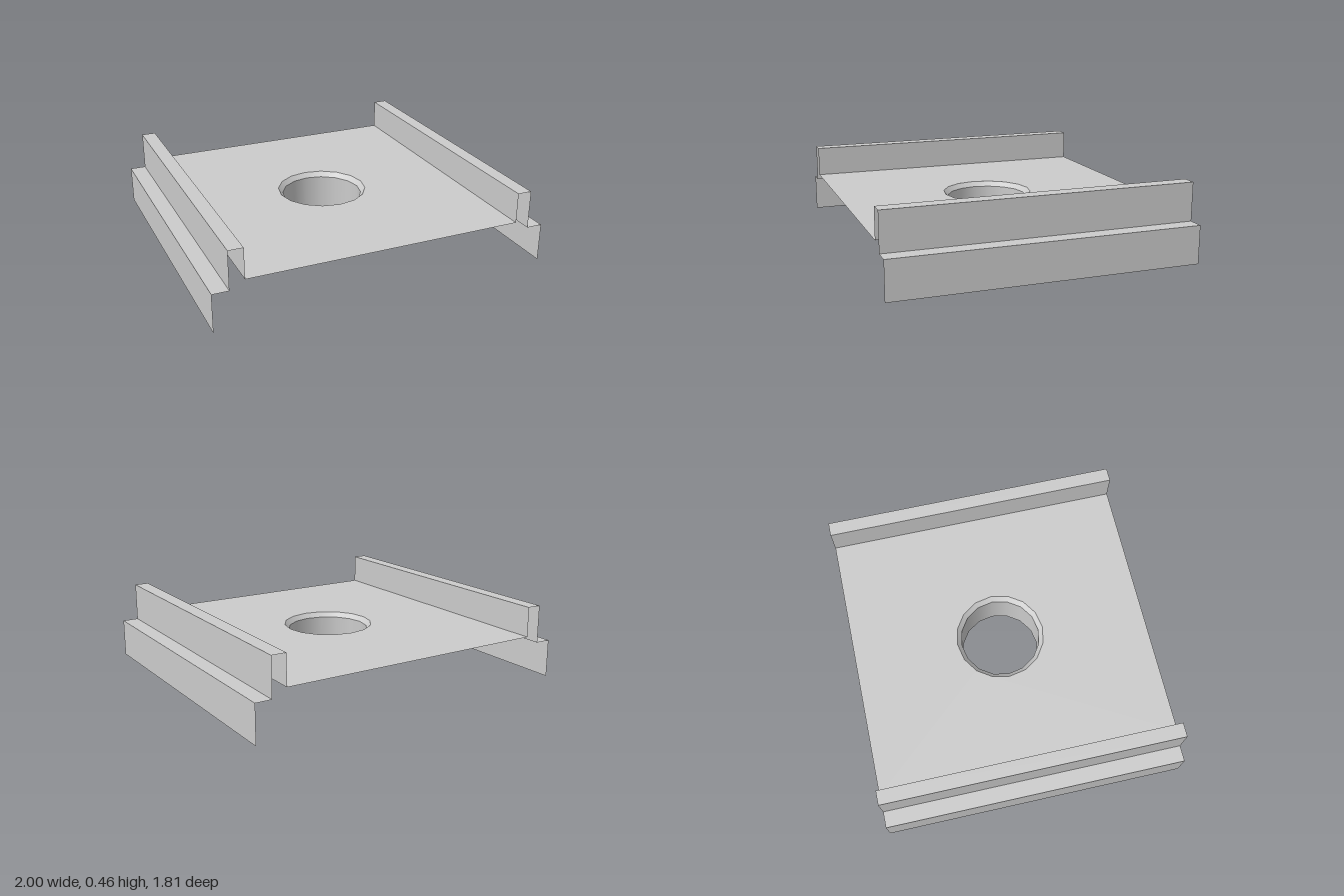
import * as THREE from 'three';

const HALF_DEPTH = 0.905;
const PLATE_Y = 0.275;
const SIDES = 16;

// Folded sheet: one flat strip along z for each segment of an (x, y) profile
function foldedSheet(profile) {
  const d = HALF_DEPTH;
  const pos = [];
  for (let i = 0; i < profile.length - 1; i++) {
    const [ax, ay] = profile[i];
    const [bx, by] = profile[i + 1];
    pos.push(ax, ay, d, bx, by, d, bx, by, -d);
    pos.push(ax, ay, d, bx, by, -d, ax, ay, -d);
  }
  const geo = new THREE.BufferGeometry();
  geo.setAttribute('position', new THREE.Float32BufferAttribute(pos, 3));
  geo.computeVertexNormals();
  return geo;
}

// Open ring between two heights
function openRing(rTop, rBottom, yTop, yBottom) {
  const geo = new THREE.CylinderGeometry(rTop, rBottom, yTop - yBottom, SIDES, 1, true);
  return geo.translate(0, (yTop + yBottom) / 2, 0);
}

export function createModel() {
  const model = new THREE.Group();
  model.name = 'drainTray';
  const sheetMetal = new THREE.MeshStandardMaterial({ color: 0xcccccc, side: THREE.DoubleSide });
  sheetMetal.name = 'sheetMetal';

  const add = (name, geometry) => {
    const mesh = new THREE.Mesh(geometry, sheetMetal);
    mesh.name = name;
    model.add(mesh);
  };

  // Flat plate with a sixteen-sided hole
  const w = 0.82;
  const shape = new THREE.Shape([
    new THREE.Vector2(-w, -HALF_DEPTH), new THREE.Vector2(w, -HALF_DEPTH),
    new THREE.Vector2(w, HALF_DEPTH), new THREE.Vector2(-w, HALF_DEPTH),
  ]);
  const rim = [];
  for (let i = 0; i < SIDES; i++) {
    const a = (-i / SIDES) * Math.PI * 2;
    rim.push(new THREE.Vector2(Math.cos(a) * 0.27, Math.sin(a) * 0.27));
  }
  shape.holes.push(new THREE.Path(rim));
  add('plate', new THREE.ShapeGeometry(shape).rotateX(-Math.PI / 2).translate(0, PLATE_Y, 0));

  // Stepped rails: outer skirt, ledge, upright, cap and inner wall
  const rail = [[-1, 0], [-1, 0.227], [-0.905, 0.227], [-0.905, 0.455], [-w, 0.455], [-w, PLATE_Y]];
  add('rightRail', foldedSheet(rail));
  add('leftRail', foldedSheet(rail.map(([x, y]) => [-x, y]).reverse()));

  // Bevelled collar and drain pipe
  add('collar', openRing(0.27, 0.243, PLATE_Y, 0.247));
  add('pipe', openRing(0.243, 0.243, 0.247, 0.003));

  return model;
}
